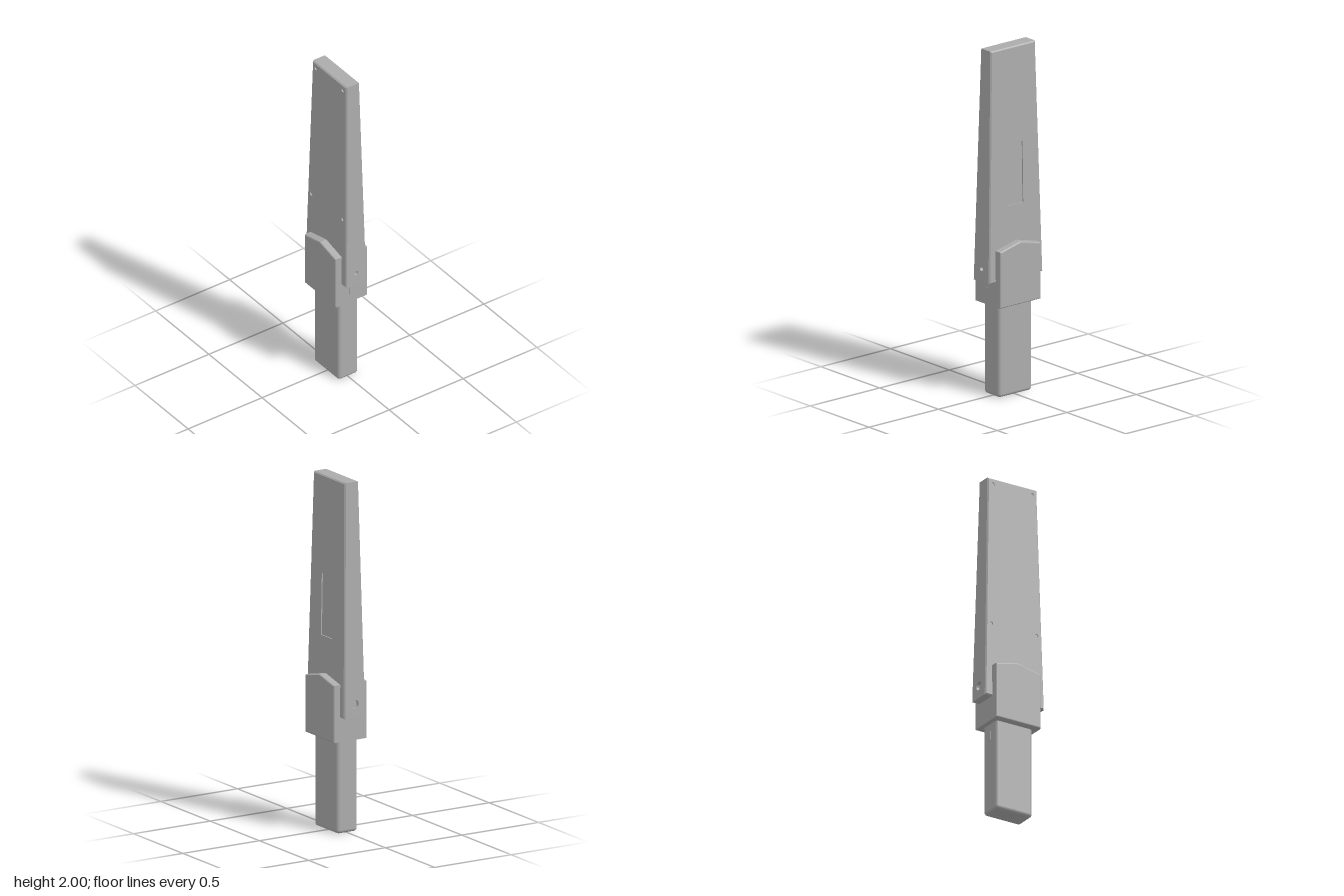
import * as THREE from 'three';
import { RoundedBoxGeometry } from 'three/addons/geometries/RoundedBoxGeometry.js';

const grey = new THREE.MeshStandardMaterial({ color: 0xacacac });
grey.name = 'grey plastic';

// Blade limits: half width and half depth taper with height
const Y0 = 0.67, Y1 = 2, EDGE = 0.007, SIDE = 0.02;
const halfX = y => 0.193 - 0.033 * (y - Y0) / (Y1 - Y0);
const halfZ = y => 0.07 - 0.025 * (y - Y0) / (Y1 - Y0);

function add(parent, name, geometry, x = 0, y = 0, z = 0) {
  const mesh = new THREE.Mesh(geometry, grey);
  mesh.name = name;
  mesh.position.set(x, y, z);
  parent.add(mesh);
  return mesh;
}

function roundHole(x, y, r) {
  const path = new THREE.Path();
  path.absarc(x, y, r, 0, Math.PI * 2, true);
  return path;
}

function rectHole(x, y, w, h) {
  return new THREE.Path([[-1, -1], [-1, 1], [1, 1], [1, -1]]
    .map(([a, b]) => new THREE.Vector2(x + a * w / 2, y + b * h / 2)));
}

// Tapered layer: half(y) is its width, from(y)..to(y) its depth; outer edge chamfered by inset
function taperedLayer(half, from, to, holes = [], inset = 0, turn = 0) {
  const shape = new THREE.Shape([[-1, Y0], [1, Y0], [1, Y1], [-1, Y1]]
    .map(([s, y]) => new THREE.Vector2(s * half(y), y)));
  shape.holes = holes;
  const geo = new THREE.ExtrudeGeometry(shape, { depth: 1, bevelEnabled: false, curveSegments: 10 });
  const p = geo.attributes.position;
  for (let i = 0; i < p.count; i++) {
    let x = p.getX(i), y = p.getY(i);
    const w = p.getZ(i);
    if (w > 0.5 && inset) {
      if (Math.abs(x) > half(y) - 1e-4) x -= Math.sign(x) * inset;
      if (y < Y0 + 1e-4) y += inset;
      else if (y > Y1 - 1e-4) y -= inset;
    }
    p.setXYZ(i, x, y, from(y) + w * (to(y) - from(y)));
  }
  geo.rotateY(turn);
  geo.computeVertexNormals();
  return geo;
}

function createBlade() {
  const blade = new THREE.Group();
  blade.name = 'blade';
  const innerZ = y => halfZ(y) - EDGE;
  const innerX = y => halfX(y) - SIDE;
  add(blade, 'bladeCore', taperedLayer(innerX, y => -innerZ(y), innerZ));

  // Front cover with four screw holes, back cover with a recessed panel
  const screws = [];
  for (const s of [-1, 1]) screws.push(roundHole(s * 0.127, 1.965, 0.011), roundHole(s * 0.147, 1.11, 0.011));
  add(blade, 'frontCover', taperedLayer(halfX, innerZ, halfZ, screws, EDGE));
  add(blade, 'backCover', taperedLayer(halfX, innerZ, halfZ, [rectHole(0, 1.27, 0.115, 0.35)], EDGE, Math.PI));

  // Side walls with one round hole each, larger on the right
  add(blade, 'leftWall', taperedLayer(innerZ, innerX, halfX, [roundHole(0, 0.745, 0.013)], 0, Math.PI / 2));
  add(blade, 'rightWall', taperedLayer(innerZ, innerX, halfX, [roundHole(0, 0.745, 0.025)], 0, -Math.PI / 2));
  return blade;
}

function createCollar() {
  const collar = new THREE.Group();
  collar.name = 'collar';
  const b = 0.008, depth = 0.218;
  const outline = [[-0.147, 0.53], [0.147, 0.53], [0.147, 0.855], [0, 0.89], [-0.147, 0.855]];
  const shape = new THREE.Shape(outline.map(([x, y]) => new THREE.Vector2(x, y)));
  const body = new THREE.ExtrudeGeometry(shape, {
    depth: depth - 2 * b, bevelThickness: b, bevelSize: b, bevelOffset: -b, bevelSegments: 3
  });
  add(collar, 'collarBody', body, 0, 0, b - depth / 2);
  add(collar, 'collarSlot', new THREE.BoxGeometry(0.004, 0.052, 0.026), 0.1465, 0.605, 0);
  return collar;
}

function createHandle() {
  const handle = new THREE.Group();
  handle.name = 'handle';
  add(handle, 'grip', new RoundedBoxGeometry(0.238, 0.58, 0.135, 4, 0.02), 0, 0.29, 0);
  add(handle, 'gripSlot', new THREE.BoxGeometry(0.004, 0.052, 0.022), -0.1185, 0.46, 0);
  const screw = new THREE.CylinderGeometry(0.008, 0.008, 0.004, 16).rotateX(Math.PI / 2);
  add(handle, 'gripScrew', screw, 0, 0.026, 0.0665);
  return handle;
}

export function createModel() {
  const model = new THREE.Group();
  model.name = 'handheldWand';
  model.add(createBlade(), createCollar(), createHandle());
  return model;
}
